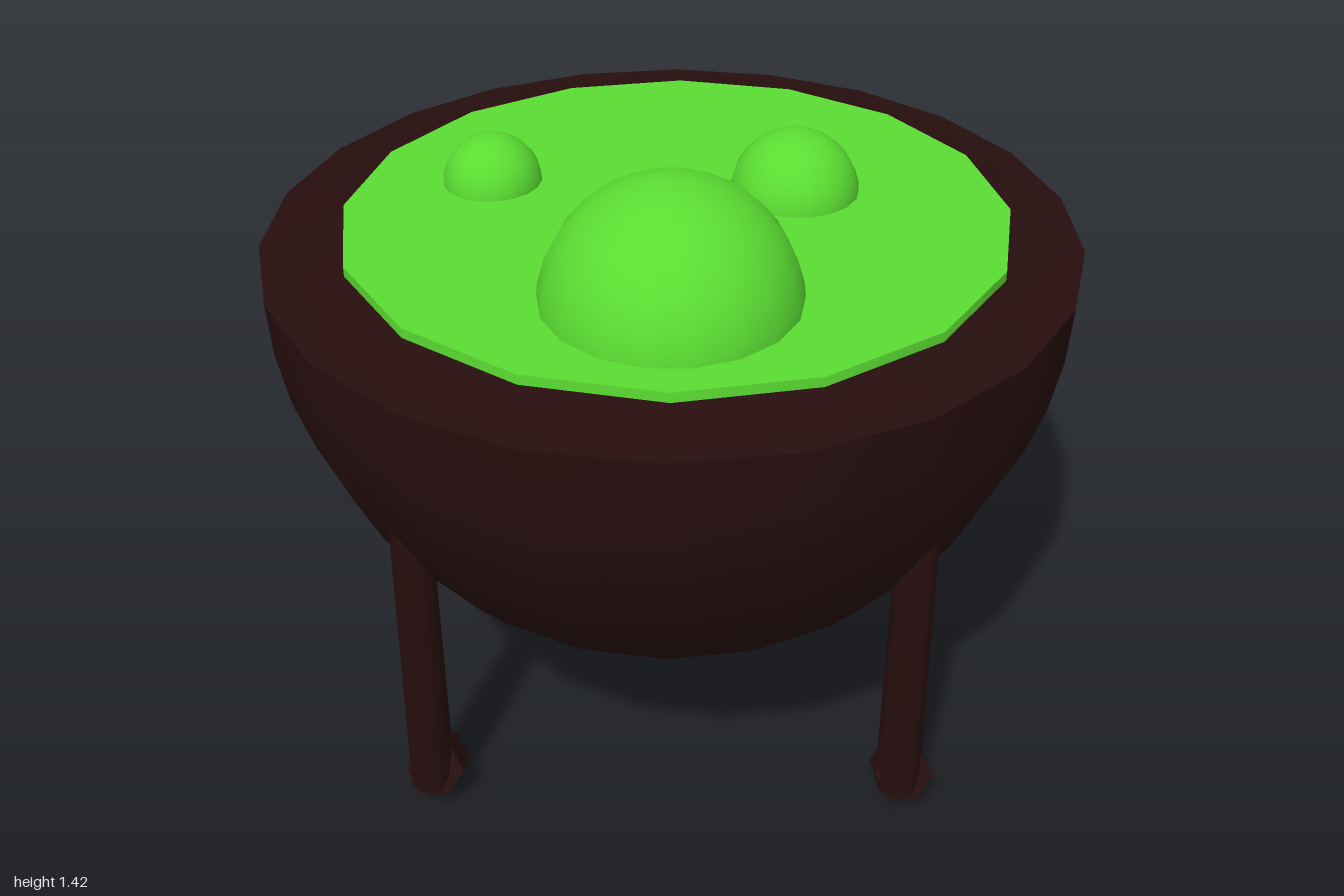
import * as THREE from 'three';
import { toCreasedNormals } from 'three/addons/utils/BufferGeometryUtils.js';

const iron = new THREE.MeshStandardMaterial({ color: 0x270e0e });
iron.name = 'darkIron';
const brew = new THREE.MeshStandardMaterial({ color: 0x5bdd32 });
brew.name = 'greenBrew';

function add(parent, name, geometry, material, x = 0, y = 0, z = 0) {
  const mesh = new THREE.Mesh(geometry, material);
  mesh.name = name;
  mesh.position.set(x, y, z);
  parent.add(mesh);
  return mesh;
}

// Half-ellipsoid bowl closed by a nearly flat rim with a slight inner step
function bowlGeometry() {
  const profile = [];
  const steps = 12;
  for (let i = 0; i <= steps; i++) {
    const a = (i / steps) * Math.PI / 2;
    profile.push(new THREE.Vector2(Math.sin(a), 1.14 - 0.94 * Math.cos(a)));
  }
  profile.push(new THREE.Vector2(0.9, 1.145), new THREE.Vector2(0.88, 1.153), new THREE.Vector2(0, 1.153));
  const geometry = new THREE.LatheGeometry(profile, 22);
  geometry.scale(0.9, 1, 1);
  return toCreasedNormals(geometry, Math.PI / 5);
}

// Straight leg running up into the bowl, with a tilted six-sided foot
function createLeg(x, z) {
  const leg = new THREE.Group();
  leg.name = 'leg';
  leg.position.set(x, 0, z);

  const post = new THREE.CylinderGeometry(0.044, 0.049, 0.75, 12);
  post.scale(1, 1, 1.22);
  add(leg, 'legPost', toCreasedNormals(post, Math.PI / 4), iron, 0, 0.435, 0);

  const foot = new THREE.CylinderGeometry(0.064, 0.064, 0.105, 6);
  foot.rotateY(Math.PI / 6);
  const mesh = add(leg, 'foot', toCreasedNormals(foot, 0.3), iron, 0.01, 0.076, -0.022);
  mesh.rotation.set(-Math.PI / 2 - 0.46, 0, 0);
  return leg;
}

export function createModel() {
  const model = new THREE.Group();
  model.name = 'cauldron';

  add(model, 'bowl', bowlGeometry(), iron);

  // Liquid surface standing just above the rim
  const liquid = new THREE.CylinderGeometry(1, 1, 0.035, 16);
  liquid.scale(0.74, 1, 0.817);
  add(model, 'liquid', toCreasedNormals(liquid, Math.PI / 5), brew, 0.01, 1.157, 0);

  // Bubbles: x, centre height, z, width radius
  const bubbles = [
    [0.005, 1.15, 0.43, 0.272],
    [-0.413, 1.168, -0.15, 0.114],
    [0.277, 1.165, -0.11, 0.147],
  ];
  for (const [x, y, z, r] of bubbles) {
    const bubble = new THREE.SphereGeometry(r, 18, 8, 0, Math.PI * 2, 0, Math.PI / 2);
    bubble.scale(1, 1, 1.12);
    add(model, 'bubble', bubble, brew, x, y, z);
  }

  for (const x of [-0.525, 0.512]) {
    for (const z of [0.61, -0.55]) model.add(createLeg(x, z));
  }
  return model;
}
